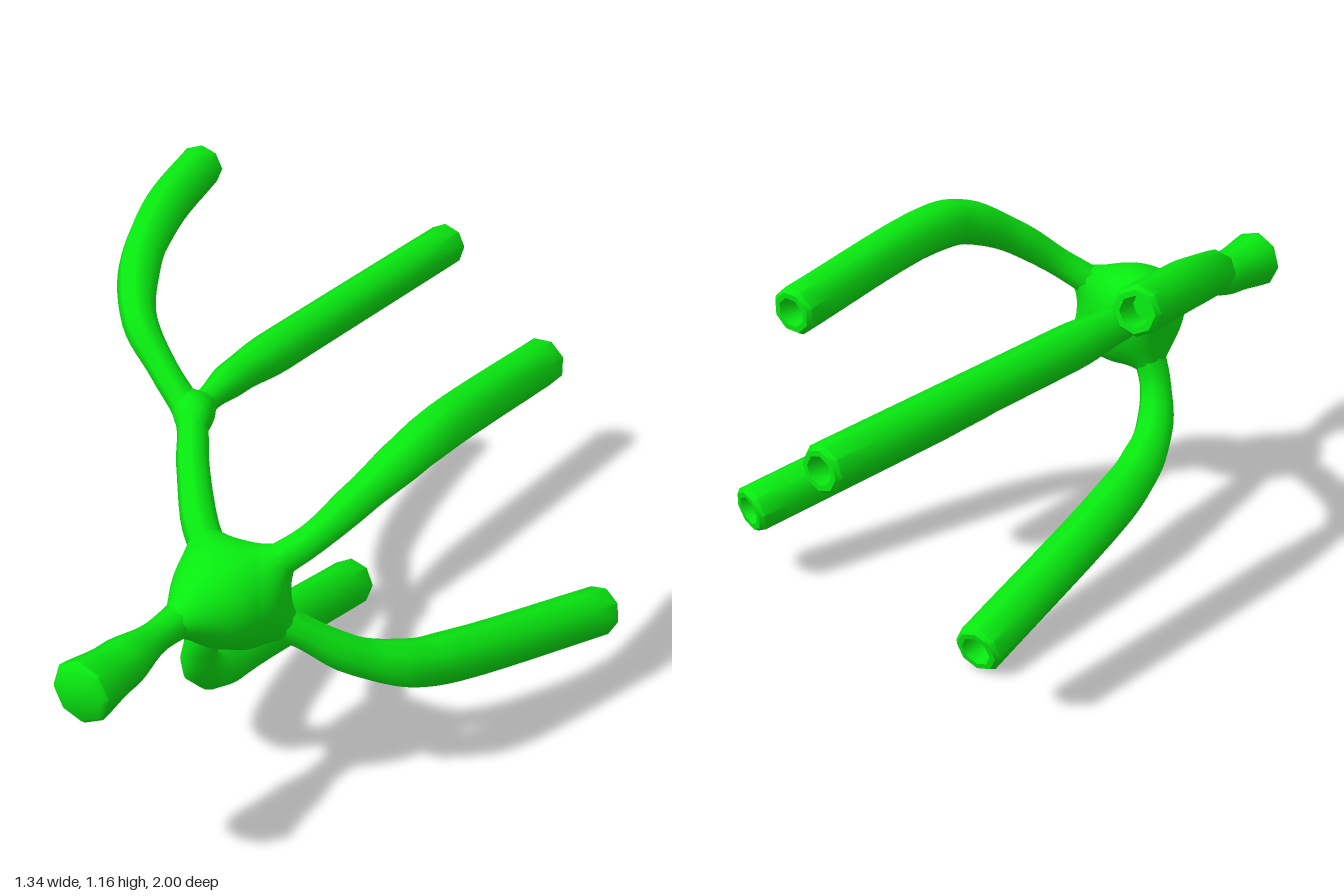
import * as THREE from 'three';
import { mergeVertices, toCreasedNormals } from 'three/addons/utils/BufferGeometryUtils.js';

const SIDES = 8;
const material = new THREE.MeshStandardMaterial({ color: 0x08ea10 });
const V = (a) => new THREE.Vector3(a[0], a[1], a[2]);

// Eight-sided limb swept through points [x, y, z, radius]; the tip is flat or has a socket.
function limb(name, points, socket) {
  const curve = new THREE.CatmullRomCurve3(points.map(V));
  const spans = points.length - 1, steps = spans * 6;
  const rings = [];
  const normal = new THREE.Vector3(0.31, 0.95, 0.05);
  let centre, tangent, radius;
  const addRing = (c, r) => {
    const side = new THREE.Vector3().crossVectors(tangent, normal);
    rings.push(Array.from({ length: SIDES }, (_, j) => {
      const a = ((j + 0.5) / SIDES) * Math.PI * 2;
      return c.clone().addScaledVector(normal, Math.cos(a) * r).addScaledVector(side, Math.sin(a) * r);
    }));
  };
  for (let i = 0; i <= steps; i++) {
    const t = i / steps, k = Math.min(Math.floor(t * spans), spans - 1);
    centre = curve.getPoint(t);
    tangent = curve.getTangent(t);
    normal.addScaledVector(tangent, -normal.dot(tangent)).normalize();
    const f = THREE.MathUtils.smoothstep(t * spans - k, 0, 1);
    radius = THREE.MathUtils.lerp(points[k][3], points[k + 1][3], f);
    if (i < steps) addRing(centre, radius);
  }
  // tip: [distance along the axis, share of the radius]
  const tip = socket
    ? [[-0.012, 1], [0, 0.85], [0, 0.62], [-0.06, 0.55], [-0.06, 0]]
    : [[-0.012, 1], [0, 0.85], [0, 0]];
  for (const [d, s] of tip) addRing(centre.clone().addScaledVector(tangent, d), radius * s);

  const position = rings.flat().flatMap((p) => [p.x, p.y, p.z]);
  const index = [];
  for (let i = 0; i < rings.length - 1; i++) {
    for (let j = 0; j < SIDES; j++) {
      const n = (j + 1) % SIDES;
      const a = i * SIDES + j, b = i * SIDES + n, c = b + SIDES, d = a + SIDES;
      index.push(a, b, c);
      if (i < rings.length - 2) index.push(a, c, d);
    }
  }
  const geometry = new THREE.BufferGeometry();
  geometry.setAttribute('position', new THREE.Float32BufferAttribute(position, 3));
  geometry.setIndex(index);
  const mesh = new THREE.Mesh(toCreasedNormals(geometry, 0.9), material);
  mesh.name = name;
  return mesh;
}

// Webbed joint: a sphere pushed out to the smooth union of spokes that taper into the limbs.
function joint(name, centre, ends, radius, sharpness, detail) {
  const c = V(centre), q = new THREE.Vector3();
  const spokes = ends.map((e) => new THREE.Line3(c, V(e)));
  const field = (p) => {
    let sum = 0;
    for (const s of spokes) {
      const t = s.closestPointToPointParameter(p, true);
      const r = radius * (1 - 0.75 * t ** 3);
      sum += Math.exp(-sharpness * (s.at(t, q).distanceTo(p) - r));
    }
    return sum - 1;
  };
  let geometry = new THREE.IcosahedronGeometry(1, detail);
  geometry.deleteAttribute('normal');
  geometry.deleteAttribute('uv');
  geometry = mergeVertices(geometry);
  const pos = geometry.attributes.position;
  const dir = new THREE.Vector3(), p = new THREE.Vector3();
  for (let i = 0; i < pos.count; i++) {
    dir.fromBufferAttribute(pos, i).normalize();
    let lo = 0, hi = 0.01;
    while (hi < 0.5 && field(p.copy(c).addScaledVector(dir, hi)) > 0) { lo = hi; hi += 0.01; }
    for (let k = 0; k < 12; k++) {
      const mid = (lo + hi) / 2;
      if (field(p.copy(c).addScaledVector(dir, mid)) > 0) lo = mid; else hi = mid;
    }
    p.copy(c).addScaledVector(dir, lo);
    pos.setXYZ(i, p.x, p.y, p.z);
  }
  geometry.computeVertexNormals();
  const mesh = new THREE.Mesh(geometry, material);
  mesh.name = name;
  return mesh;
}

export function createModel() {
  const model = new THREE.Group();
  model.name = 'branchingTube';

  // central hub: stem, four limbs, then two short spokes that fill the webs between limbs
  model.add(joint('hub', [0.15, 0.57, 0.5], [
    [0.13, 0.565, 0.7], [0.02, 0.665, 0.41], [0.28, 0.682, 0.39],
    [0.073, 0.42, 0.473], [0.29, 0.465, 0.39],
    [0.185, 0.47, 0.465], [0.23, 0.575, 0.455],
  ], 0.043, 27, 34));
  // smaller fork
  model.add(joint('fork', [-0.175, 0.79, 0.17], [
    [-0.1, 0.741, 0.28], [-0.28, 0.865, 0.148], [-0.19, 0.798, 0.06],
  ], 0.023, 45, 20));

  // front stem with a closed end
  model.add(limb('stem', [
    [0.13, 0.565, 0.58, 0.047], [0.13, 0.565, 0.72, 0.037],
    [0.13, 0.56, 0.86, 0.06], [0.13, 0.56, 1.0, 0.076],
  ], false));

  // upper right limb: hub, through the fork, to the raised tip
  model.add(limb('upperRightLimb', [
    [0.08, 0.625, 0.45, 0.043], [0.02, 0.665, 0.41, 0.043], [-0.09, 0.735, 0.29, 0.039],
    [-0.175, 0.79, 0.185, 0.037], [-0.28, 0.865, 0.145, 0.036], [-0.39, 0.945, 0.095, 0.043],
    [-0.485, 1.018, -0.03, 0.052], [-0.56, 1.075, -0.22, 0.057], [-0.62, 1.11, -0.475, 0.057],
  ], true));
  model.add(limb('forkLimb', [
    [-0.17, 0.79, 0.19, 0.03], [-0.187, 0.797, 0.1, 0.031], [-0.198, 0.803, -0.02, 0.045],
    [-0.2, 0.803, -0.2, 0.056], [-0.2, 0.803, -1.0, 0.057],
  ], true));

  // the other three limbs
  model.add(limb('upperLeftLimb', [
    [0.22, 0.63, 0.44, 0.042], [0.3, 0.7, 0.37, 0.039], [0.365, 0.785, 0.27, 0.046],
    [0.41, 0.85, 0.15, 0.056], [0.42, 0.87, 0.03, 0.061], [0.392, 0.825, -0.495, 0.061],
  ], true));
  model.add(limb('lowerRightLimb', [
    [0.1, 0.49, 0.48, 0.043], [0.065, 0.39, 0.475, 0.041], [0.027, 0.295, 0.425, 0.049],
    [-0.008, 0.228, 0.315, 0.06], [-0.04, 0.193, 0.17, 0.064], [-0.109, 0.064, -0.42, 0.064],
  ], true));
  model.add(limb('lowerLeftLimb', [
    [0.23, 0.515, 0.44, 0.043], [0.3, 0.455, 0.38, 0.041], [0.375, 0.38, 0.295, 0.049],
    [0.45, 0.325, 0.175, 0.059], [0.492, 0.296, 0.05, 0.063], [0.613, 0.21, -0.46, 0.063],
  ], true));

  return model;
}
